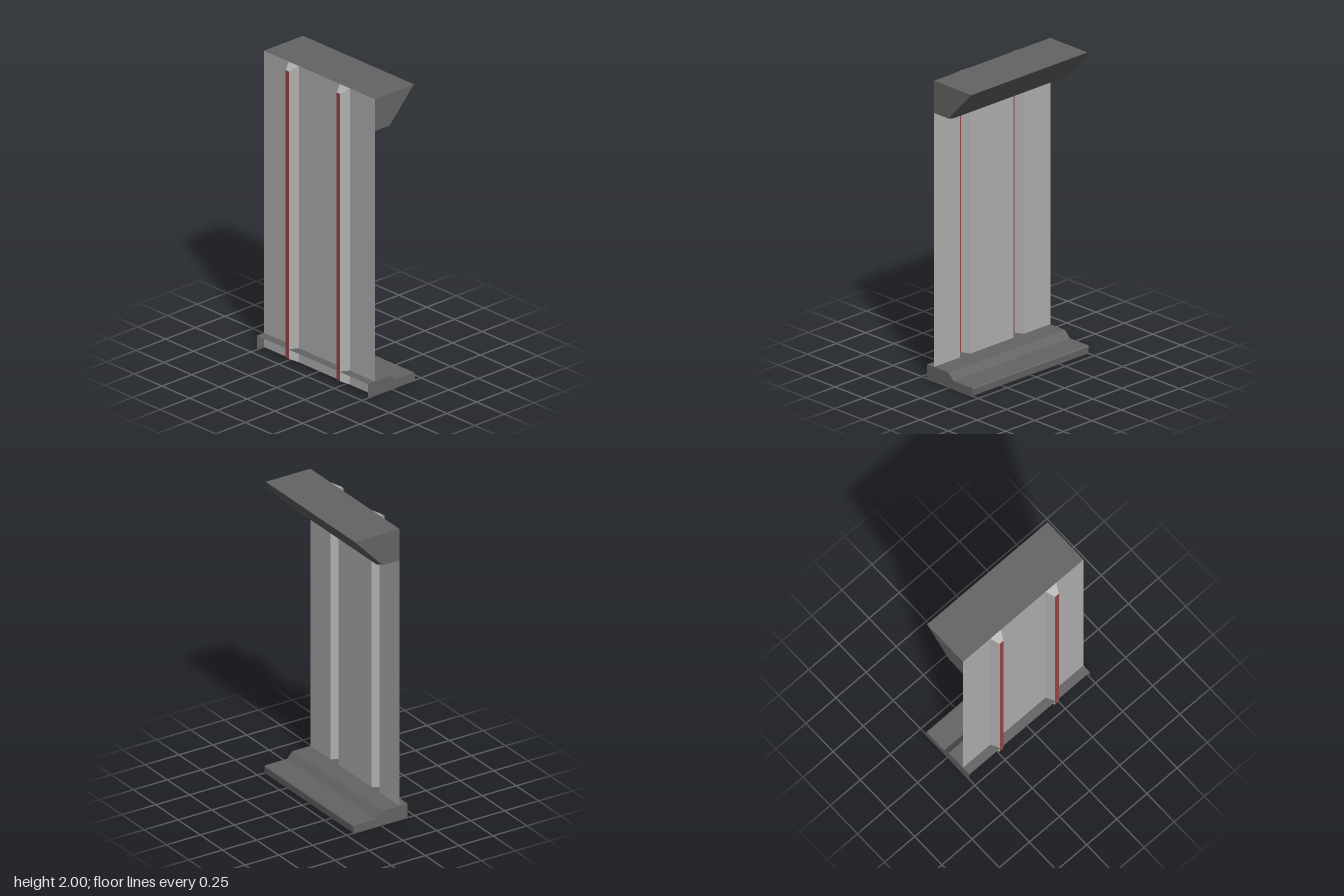
import * as THREE from 'three';

const paint = (color, flatShading = true) =>
  new THREE.MeshStandardMaterial({ color, flatShading, side: THREE.DoubleSide });
const light = paint(0xafafaf);
const dark = paint(0x646464);
const darkSmooth = paint(0x646464, false);
const red = paint(0x994343);

// Mesh from a list of convex polygons, each an array of [x, y, z] corners
function sheet(name, polygons, material) {
  const pos = [];
  for (const p of polygons) {
    for (let i = 1; i < p.length - 1; i++) pos.push(...p[0], ...p[i], ...p[i + 1]);
  }
  const geo = new THREE.BufferGeometry();
  geo.setAttribute('position', new THREE.Float32BufferAttribute(pos, 3));
  geo.computeVertexNormals();
  const mesh = new THREE.Mesh(geo, material);
  mesh.name = name;
  return mesh;
}

// Quads between open x/y profiles placed along z
function loft(sections) {
  const rings = sections.map(({ z, profile }) => profile.map(([x, y]) => [x, y, z]));
  const polys = [];
  for (let r = 0; r < rings.length - 1; r++) {
    const a = rings[r], b = rings[r + 1];
    for (let i = 0; i < a.length - 1; i++) polys.push([a[i], b[i], b[i + 1], a[i + 1]]);
  }
  return polys;
}

export function createModel() {
  const model = new THREE.Group();
  const BACK = -0.14, RIB = -0.196, TOP = 2, BEVEL = 0.03, HALF = 0.5;

  // Folded wall sheet: flat panels with two hollow ribs pushed out to the back
  const wall = [], strips = [];
  const panel = (z0, x0, z1, x1, list) => {
    const inset = (x) => (x === RIB ? BEVEL : 0);
    list.push([
      [x0, inset(x0), z0], [x0, TOP - inset(x0), z0],
      [x1, TOP - inset(x1), z1], [x1, inset(x1), z1],
    ]);
  };
  let z = -HALF;
  for (const c of [-0.23, 0.23]) {
    const w = 0.045, n = 0.015;
    panel(z, BACK, c - w, BACK, wall);
    panel(c - w, BACK, c - n, RIB, wall);
    panel(c - n, RIB, c + n, RIB, strips);
    panel(c + n, RIB, c + w, BACK, wall);
    // sloped rib ends
    for (const [yIn, yOut] of [[TOP, TOP - BEVEL], [0, BEVEL]]) {
      wall.push([[BACK, yIn, c - w], [RIB, yOut, c - n], [RIB, yOut, c + n], [BACK, yIn, c + w]]);
    }
    z = c + w;
  }
  panel(z, BACK, HALF, BACK, wall);
  model.add(sheet('wallPanel', wall, light), sheet('ribStrips', strips, red));

  // Overhanging top ledge: flat underside, top and ends
  const under = [[BACK, 1.785], [-0.015, 1.785]];
  const lid = [[0.19, TOP], [BACK, TOP]];
  const ledge = [under, lid].flatMap((profile) => loft([{ z: HALF, profile }, { z: -HALF, profile }]));
  for (const e of [-HALF, HALF]) ledge.push([...under, ...lid].map(([x, y]) => [x, y, e]));
  model.add(sheet('topLedge', ledge, dark));

  // Raised sloping face with softened rim, shaded as one plane
  const rim = [under[1], [0.005, 1.806], [0.17, 1.979], lid[0]];
  const raised = [under[1], [0.018, 1.792], [0.199, 1.972], lid[0]];
  const slope = sheet('ledgeSlope', loft([
    { z: HALF, profile: rim }, { z: 0.485, profile: raised },
    { z: -0.485, profile: raised }, { z: -HALF, profile: rim },
  ]), darkSmooth);
  const normals = slope.geometry.attributes.normal;
  for (let i = 0; i < normals.count; i++) normals.setXYZ(i, 0.72, -0.694, 0);
  model.add(slope);

  // Stepped base shell, open at the back and underneath
  const step = [[-0.2, 0.095], [-0.01, 0.095], [0.033, 0.052], [0.194, 0.052], [0.2, 0.045], [0.198, 0]];
  const base = loft([{ z: -HALF, profile: step }, { z: HALF, profile: step }]);
  for (const e of [-HALF, HALF]) {
    const at = ([x, y]) => [x, y, e];
    base.push([[-0.2, 0], ...step.slice(0, 3), [0.033, 0]].map(at), [[0.033, 0], ...step.slice(2)].map(at));
  }
  model.add(sheet('baseStep', base, dark));

  return model;
}
